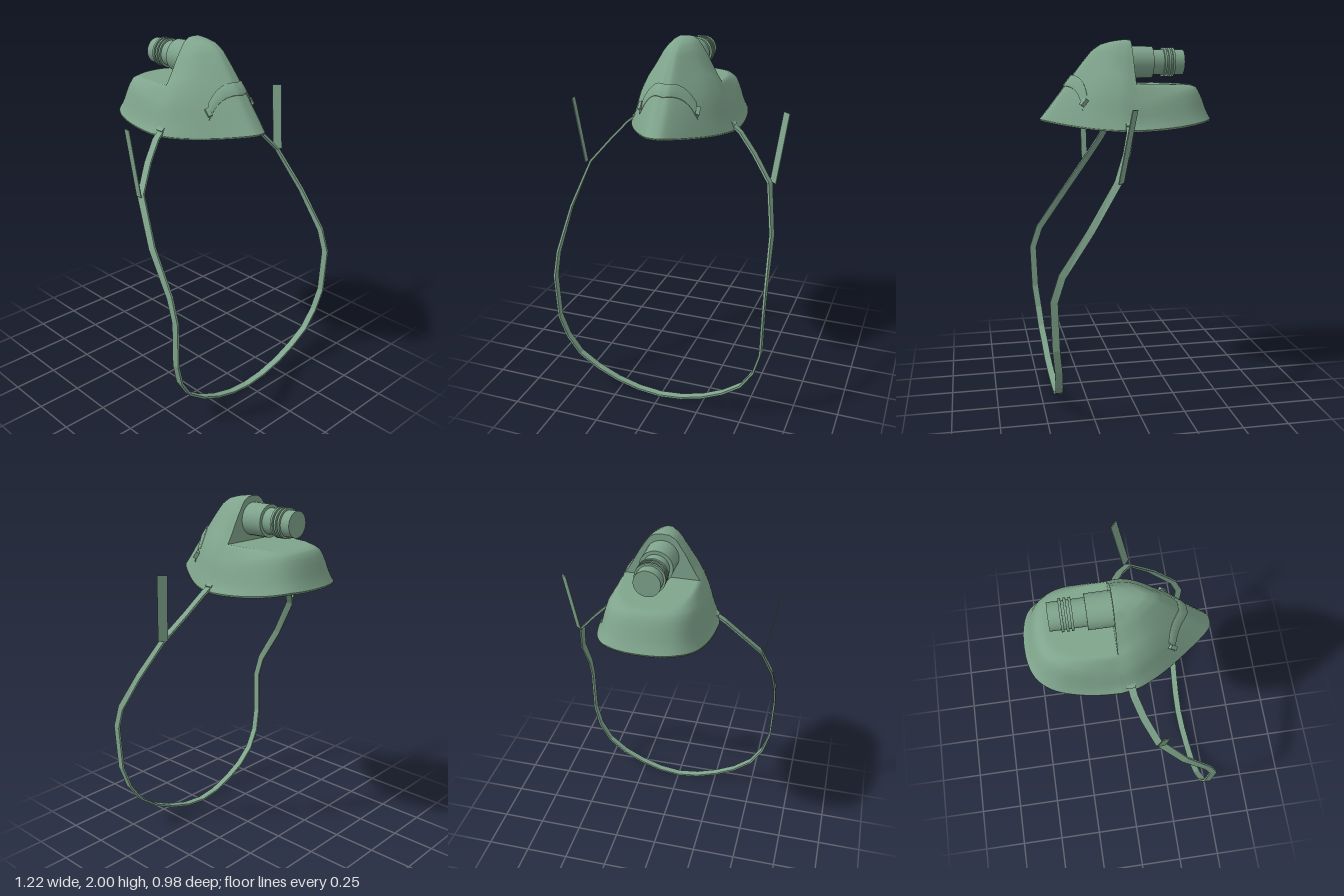
import * as THREE from 'three';

const mat = new THREE.MeshStandardMaterial({ color: 0x7fa48c, side: THREE.DoubleSide });
const flatMat = new THREE.MeshStandardMaterial({ color: 0x7fa48c, side: THREE.DoubleSide, flatShading: true });
const V = (x, y, z) => new THREE.Vector3(x, y, z);
const ZC = -0.04; // plane where the tall nose hood meets the low chin cup

function add(group, name, geometry, material = mat) {
  const m = new THREE.Mesh(geometry, material);
  m.name = name;
  group.add(m);
  return m;
}

// Surface through rows of points
function loft(rows, closed = false) {
  const n = rows[0].length, index = [];
  for (let i = 0; i < rows.length - 1; i++)
    for (let j = 0; j < (closed ? n : n - 1); j++) {
      const a = i * n + j, b = i * n + (j + 1) % n;
      index.push(a, b, a + n, b, b + n, a + n);
    }
  const g = new THREE.BufferGeometry().setFromPoints(rows.flat());
  g.setIndex(index);
  g.computeVertexNormals();
  return g;
}

// Linear lookup in a list of [t, height] pairs
function lookup(list, t) {
  for (let i = 1; i < list.length; i++) {
    const [t0, h0] = list[i - 1], [t1, h1] = list[i];
    if (t <= t1) return h0 + (h1 - h0) * (t - t0) / (t1 - t0);
  }
  return 0;
}

// Height profiles from the centre (0) to the rim (1)
const NOSE = [[0, 1], [0.08, 1], [0.2, 0.98], [0.32, 0.94], [0.42, 0.86], [0.54, 0.69], [0.64, 0.535], [0.9, 0.14], [0.97, 0.04], [1, 0]];
const SIDE = [[0, 1], [0.12, 0.995], [0.23, 0.95], [0.39, 0.79], [0.565, 0.58], [0.68, 0.47], [0.76, 0.37], [0.84, 0.26], [0.88, 0.16], [0.93, 0.07], [1, 0]];
const CHIN = [[0, 1], [0.75, 0.96], [0.82, 0.9], [0.88, 0.68], [0.91, 0.45], [0.95, 0.2], [1, 0]];

// Rim outlines, [x, z], mirrored across x
function outline(half) {
  const pts = [...half, ...half.slice().reverse().map(([x, z]) => [-x, z])];
  return new THREE.CatmullRomCurve3(pts.map(([x, z]) => V(x, 0, z)), false, 'centripetal').getSpacedPoints(64);
}
const frontRim = outline([[0.31, ZC], [0.295, 0.05], [0.262, 0.13], [0.225, 0.2], [0.16, 0.3], [0.1, 0.385], [0.06, 0.435], [0.03, 0.46]]);
const backRim = outline([[0.31, ZC], [0.305, -0.15], [0.285, -0.28], [0.25, -0.38], [0.19, -0.45], [0.09, -0.487]]);
const rimY = (p) => 1.525 + 0.045 * Math.min(1, (p.z / 0.46) ** 2);
const forward = (p) => (p.z - ZC) ** 2 / (p.x ** 2 + (p.z - ZC) ** 2);
const place = (p, t, y) => V(p.x * t, y, ZC + (p.z - ZC) * t);

function hoodPoint(p, t) {
  const w = forward(p), base = rimY(p);
  const h = w * lookup(NOSE, t) + (1 - w) * lookup(SIDE, t);
  const bulge = 0.05 * 2 * Math.sqrt(w * (1 - w)) * 9.5 * t ** 3 * (1 - t);
  return place(p, t, base + (2 - base) * h + bulge);
}

function cupPoint(p, t) {
  const w = forward(p), base = rimY(p);
  const side = Math.min(1.765, base + (2 - base) * lookup(SIDE, t));
  const chin = base + (1.765 - base) * lookup(CHIN, t);
  return place(p, t, w * chin + (1 - w) * side);
}

// Thin band with a rectangular section; across gives the width direction
function band(points, width, thickness, across) {
  const rows = points.map((p, i) => {
    const t = points[Math.min(i + 1, points.length - 1)].clone().sub(points[Math.max(i - 1, 0)]).normalize();
    const w = across(p, t).normalize();
    const n = w.clone().cross(t).normalize().multiplyScalar(thickness / 2);
    w.multiplyScalar(width / 2);
    return [[1, 1], [1, -1], [-1, -1], [-1, 1]].map(([a, b]) => p.clone().addScaledVector(w, a).addScaledVector(n, b));
  });
  return loft(rows, true);
}

export function createModel() {
  const model = new THREE.Group();
  model.name = 'breathingMask';

  // Mask shell: hood over the nose, cup over the chin
  const steps = Array.from({ length: 29 }, (_, i) => i / 28);
  add(model, 'noseHood', loft(steps.map((t) => frontRim.map((p) => hoodPoint(p, t)))));
  add(model, 'chinCup', loft(steps.map((t) => backRim.map((p) => cupPoint(p, t)))));

  // Upright wall closing the back of the hood
  const wall = steps.map((t) => hoodPoint(frontRim[0], t)).filter((p) => p.y > 1.74);
  const edge = [...wall.slice(1).reverse(), ...wall.map((p) => V(-p.x, p.y, p.z))];
  const wallShape = new THREE.Shape(edge.map((p) => new THREE.Vector2(p.x, p.y)));
  add(model, 'hoodBackWall', new THREE.ShapeGeometry(wallShape)).position.z = ZC;

  // Inward face seal around the rim
  const loop = [...frontRim, ...backRim.slice(1, -1).reverse()];
  const seal = [[1, 0], [0.995, -0.01], [0.9, -0.002], [0.8, 0.012], [0.73, 0.03]]
    .map(([t, dy]) => loop.map((p) => place(p, t, rimY(p) + dy)));
  add(model, 'faceSeal', loft(seal, true));

  // Hose connector with ribs, pointing backwards
  const connector = new THREE.Group();
  connector.name = 'hoseConnector';
  connector.position.y = 1.878;
  model.add(connector);
  const tube = (name, r, z0, z1) => {
    const g = new THREE.CylinderGeometry(r, r, z0 - z1, 24).rotateX(Math.PI / 2);
    add(connector, name, g).position.z = (z0 + z1) / 2;
  };
  tube('connectorCollar', 0.088, 0, -0.165);
  tube('connectorPipe', 0.07, -0.16, -0.345);
  for (const z of [-0.228, -0.252, -0.276]) tube('connectorRib', 0.081, z, z - 0.013);

  // Bent nose clip lying on the hood, with a tab at each end
  const clipRows = [];
  for (const p of frontRim) {
    const a = Math.atan2(p.x, p.z - ZC);
    if (Math.abs(a) > 0.52) continue;
    const t0 = 0.64 + 0.19 * (a / 0.52) ** 2;
    const out = V(0.6 * Math.sin(a), 0.65, 0.6 * Math.cos(a));
    clipRows.push([[0, 0], [0, 0.009], [0.045, 0.01], [0.085, 0.009], [0.085, 0]]
      .map(([dt, lift]) => hoodPoint(p, t0 + dt).addScaledVector(out, lift)));
  }
  add(model, 'noseClip', loft(clipRows));
  for (const row of [clipRows[0], clipRows[clipRows.length - 1]]) {
    const tab = add(model, 'noseClipTab', new THREE.BoxGeometry(0.022, 0.045, 0.022));
    tab.position.copy(row[2]);
    tab.rotation.set(-0.7, Math.sign(row[2].x) * 0.5, 0);
  }

  // Head strap loop, mirrored about the centre
  const half = [[0.27, 1.555, 0.012], [0.33, 1.51, 0.022], [0.42, 1.41, 0.06], [0.525, 1.28, 0.125],
    [0.583, 1.05, 0.275], [0.6, 0.83, 0.425], [0.603, 0.7, 0.468], [0.595, 0.44, 0.46], [0.557, 0.31, 0.445],
    [0.487, 0.2, 0.435], [0.38, 0.12, 0.425], [0.26, 0.062, 0.42], [0.13, 0.022, 0.414], [0, 0.007, 0.411]].map((p) => V(...p));
  const path = [...half, ...half.slice(0, -1).reverse().map((p) => V(-p.x, p.y, p.z))];
  const sideways = (p, t) => t.clone().cross(V(p.x, p.y - 0.75, 0));
  add(model, 'headStrap', band(path, 0.04, 0.012, sideways), flatMat);

  // Strap anchors on the rim
  for (const s of [-1, 1]) {
    const anchor = add(model, 'strapAnchor', new THREE.BoxGeometry(0.03, 0.025, 0.045));
    anchor.position.set(s * 0.28, 1.55, 0.012);
    anchor.rotation.z = -s * 0.7;
  }

  // Loose strap ends, each twisted its own way
  add(model, 'leftStrapEnd', band([V(0.54, 1.28, 0.112), V(0.583, 1.65, 0.05)], 0.052, 0.005,
    () => V(0.04, 0, 0.035)), flatMat);
  add(model, 'rightStrapEnd', band([V(-0.545, 1.28, 0.135), V(-0.608, 1.65, 0.135)], 0.036, 0.005,
    () => V(0, 0, 1)), flatMat);

  return model;
}
